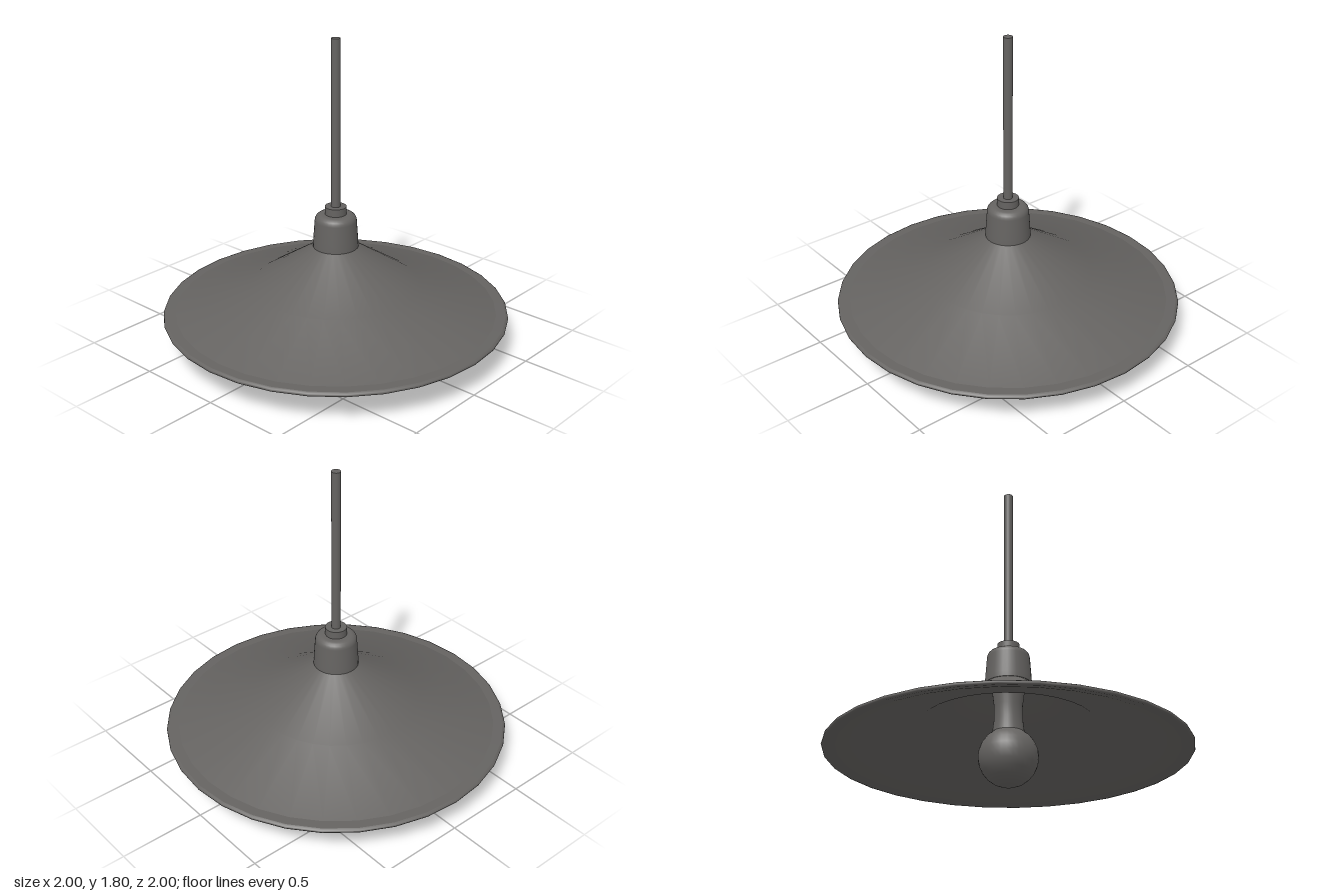
import * as THREE from 'three';

const SEGMENTS = 32;

export function createModel() {
  const lamp = new THREE.Group();
  lamp.name = 'pendantLamp';
  const grey = new THREE.MeshStandardMaterial({ color: 0x656361 });
  grey.name = 'warmGrey';

  // Turns [radius, height, sharp] points; sharp points are doubled to keep a hard edge
  function turned(name, profile) {
    const points = [];
    for (const [r, y, sharp] of profile) {
      points.push(new THREE.Vector2(r, y));
      if (sharp) points.push(new THREE.Vector2(r, y));
    }
    const mesh = new THREE.Mesh(new THREE.LatheGeometry(points, SEGMENTS), grey);
    mesh.name = name;
    lamp.add(mesh);
  }

  // Thin shade: down the inside, round the rim, up the outside
  turned('shade', [
    [0, 0.575, true], [0.12, 0.575, true], [0.485, 0.343], [0.93, 0.192, true],
    [0.985, 0.18, true], [0.997, 0.183], [1, 0.19], [0.997, 0.198],
    [0.985, 0.204, true], [0.93, 0.205, true], [0.485, 0.357], [0.12, 0.592],
  ]);

  // Socket cap with a rounded shoulder
  const socket = [[0, 0.588, true], [0.13, 0.588, true], [0.129, 0.62], [0.12, 0.745]];
  for (let i = 1; i <= 5; i++) {
    const a = (i / 5) * Math.PI / 2;
    socket.push([0.08 + 0.04 * Math.cos(a), 0.745 + 0.04 * Math.sin(a)]);
  }
  socket.push([0, 0.785]);
  turned('socketCap', socket);

  // Collar and hanging rod
  turned('collar', [[0, 0.78, true], [0.062, 0.78, true], [0.062, 0.83, true], [0, 0.83]]);
  turned('rod', [[0, 0.82, true], [0.026, 0.82, true], [0.026, 1.8, true], [0, 1.8]]);

  // Globe bulb running up into a slightly waisted neck
  const bulb = [];
  for (let i = 0; i <= 10; i++) {
    const a = (i / 10) * Math.PI * 0.82;
    bulb.push([0.165 * Math.sin(a), 0.165 - 0.165 * Math.cos(a), i === 10]);
  }
  bulb.push([0.079, 0.38], [0.079, 0.46], [0.088, 0.53], [0.09, 0.578]);
  turned('bulb', bulb);

  return lamp;
}
